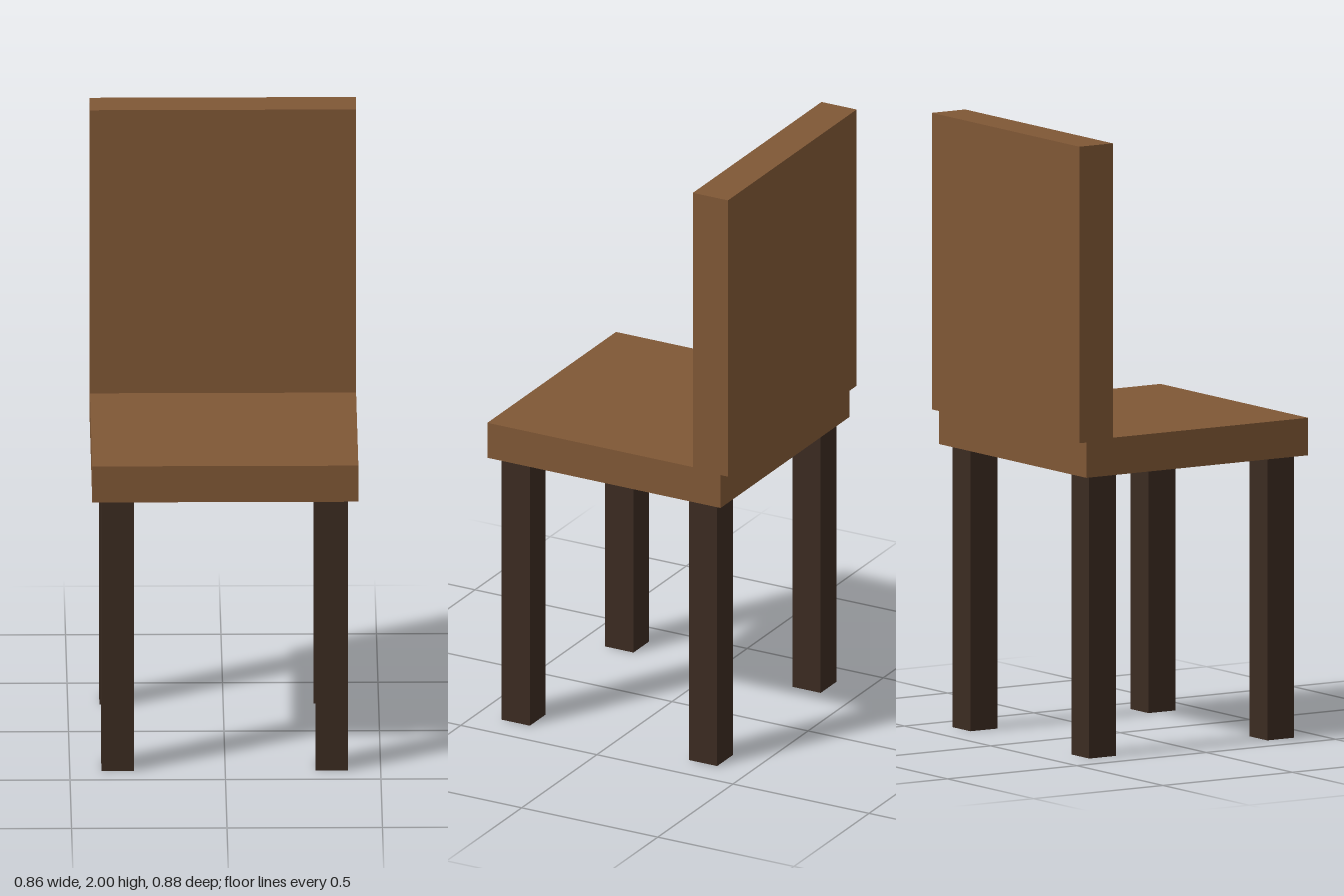
import * as THREE from 'three';

export function createModel() {
  const model = new THREE.Group();
  model.name = 'chair';

  const wood = new THREE.MeshStandardMaterial({ color: 0x7f5735 });
  wood.name = 'brown wood';
  const darkWood = new THREE.MeshStandardMaterial({ color: 0x3b2b21 });
  darkWood.name = 'dark wood';

  // Box given by its [min, max] extent along each axis
  function addBox(name, material, [x0, x1], [y0, y1], [z0, z1]) {
    const mesh = new THREE.Mesh(new THREE.BoxGeometry(x1 - x0, y1 - y0, z1 - z0), material);
    mesh.position.set((x0 + x1) / 2, (y0 + y1) / 2, (z0 + z1) / 2);
    mesh.name = name;
    model.add(mesh);
  }

  // Seat slab, and a backrest overhanging its rear edge
  addBox('seat', wood, [-0.428, 0.428], [0.92, 1.042], [-0.415, 0.442]);
  addBox('backrest', wood, [-0.428, 0.428], [1.035, 2], [-0.442, -0.313]);

  // Four square legs
  const sides = { Right: [-0.398, -0.294], Left: [0.291, 0.395] };
  const rows = { front: [0.304, 0.408], back: [-0.384, -0.28] };
  for (const [row, z] of Object.entries(rows)) {
    for (const [side, x] of Object.entries(sides)) {
      addBox(`${row}${side}Leg`, darkWood, x, [0, 0.92], z);
    }
  }

  return model;
}
